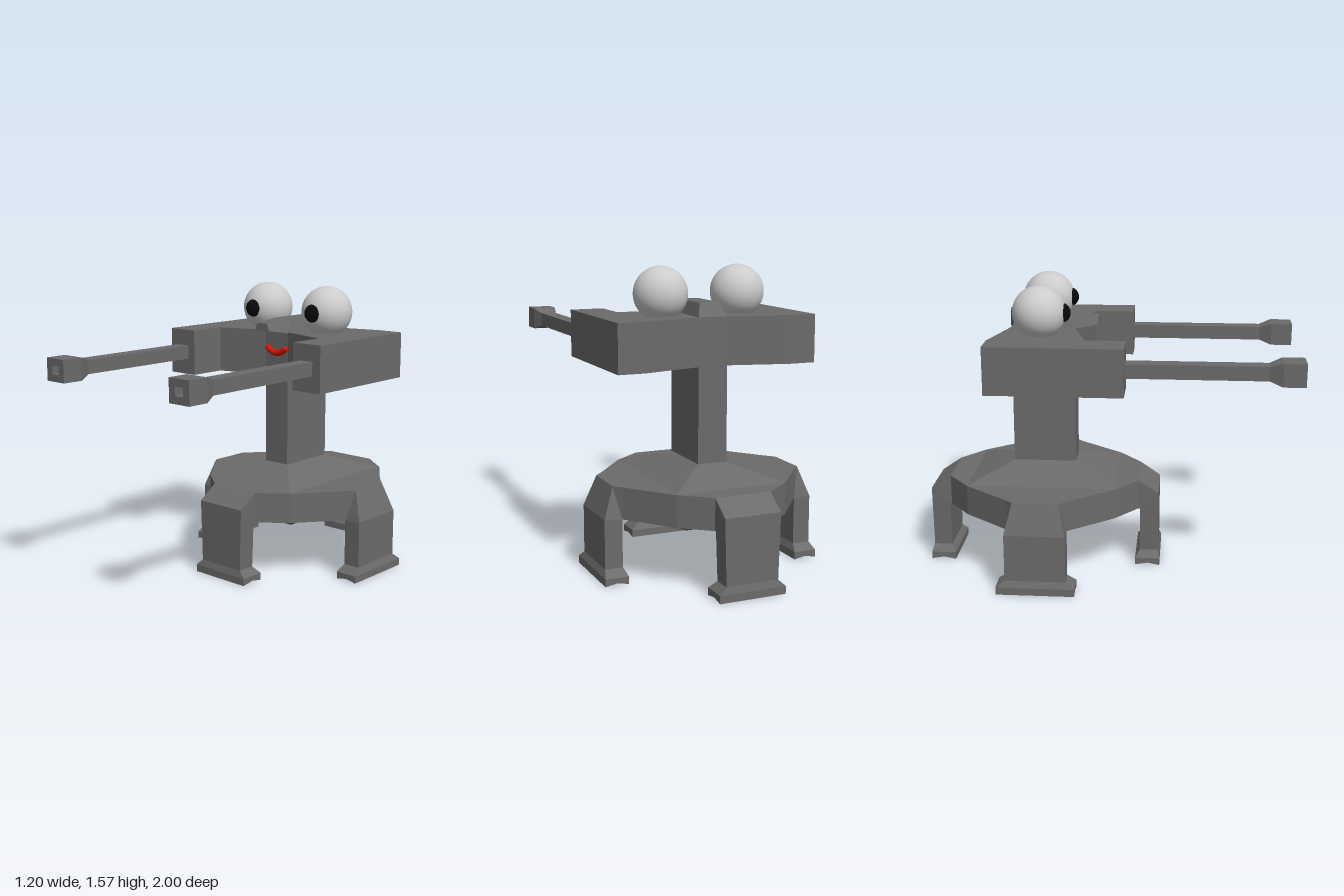
import * as THREE from 'three';

const CZ = -0.36; // z of the body's vertical axis
const hull = new THREE.MeshStandardMaterial({ color: 0x6b6b6b, flatShading: true });
const white = new THREE.MeshStandardMaterial({ color: 0xcccccc });
const black = new THREE.MeshStandardMaterial({ color: 0x080808 });
const red = new THREE.MeshStandardMaterial({ color: 0xdd1100 });

// Closed faceted solid through rings of equal point count; ends are capped by fans.
function loft(rings) {
  const tris = [];
  const n = rings[0].length;
  for (let r = 0; r + 1 < rings.length; r++) {
    for (let i = 0; i < n; i++) {
      const j = (i + 1) % n;
      const [a, b, c, d] = [rings[r][i], rings[r][j], rings[r + 1][j], rings[r + 1][i]];
      tris.push([a, b, c], [a, c, d]);
    }
  }
  const last = rings[rings.length - 1];
  for (let i = 1; i + 1 < n; i++) {
    tris.push([rings[0][0], rings[0][i + 1], rings[0][i]], [last[0], last[i], last[i + 1]]);
  }
  // Drop collapsed triangles and turn the solid outward by its signed volume
  let volume = 0;
  const solid = tris.map(t => t.map(p => new THREE.Vector3(...p)))
    .filter(([a, b, c]) => new THREE.Triangle(a, b, c).getArea() > 1e-7);
  for (const [a, b, c] of solid) volume += a.dot(b.clone().cross(c));
  const points = solid.flatMap(([a, b, c]) => (volume < 0 ? [a, c, b] : [a, b, c]));
  const geometry = new THREE.BufferGeometry().setFromPoints(points);
  geometry.computeVertexNormals();
  return geometry;
}

// Horizontal rectangle around the body axis
const rect = (hx, hz, y) =>
  [[hx, y, CZ + hz], [-hx, y, CZ + hz], [-hx, y, CZ - hz], [hx, y, CZ - hz]];

// Leg pointing along +z from the axis; each station is
// [outerZ, outerY, outerHalfWidth, innerZ, innerY, innerHalfWidth]
function legGeometry(stations) {
  return loft(stations.map(([oz, oy, ow, iz, iy, iw], k) => {
    const arch = k === stations.length - 1 ? 0.012 : 0; // hollow sole
    const mz = (oz + iz) / 2, my = (oy + iy) / 2 + arch, mw = (ow + iw) / 2;
    return [[-mw, my, mz], [-iw, iy, iz], [iw, iy, iz], [mw, my, mz], [ow, oy, oz], [-ow, oy, oz]];
  }));
}

export function createModel() {
  const model = new THREE.Group();
  const add = (name, geometry, material = hull, parent = model) => {
    const mesh = new THREE.Mesh(geometry, material);
    mesh.name = name;
    parent.add(mesh);
    return mesh;
  };

  // Body: twelve-sided band with a sloped roof and a sloped belly
  const quarter = [[0.49, 0.16], [0.30, 0.40], [0.15, 0.52]];
  const flip = pts => pts.slice().reverse().map(([x, z]) => [-x, z]);
  const half = [...quarter, ...flip(quarter)];
  const outline = [...half, ...half.map(([x, z]) => [-x, -z])];
  add('bodyBand', loft([0.325, 0.49].map(y => outline.map(([x, z]) => [x, y, CZ + z]))));
  add('bodyRoof', loft([rect(0.30, 0.40, 0.489), rect(0.08, 0.17, 0.57)]));
  add('bodyBelly', loft([rect(0.30, 0.40, 0.326), rect(0.18, 0.25, 0.255)]));

  // Four legs with flared feet
  const endLeg = legGeometry([
    [0.52, 0.49, 0.15, 0.52, 0.325, 0.15],
    [0.63, 0.415, 0.15, 0.53, 0.325, 0.15],
    [0.63, 0.075, 0.14, 0.53, 0.075, 0.14],
    [0.64, 0.04, 0.178, 0.505, 0.04, 0.178],
    [0.64, 0, 0.178, 0.505, 0, 0.178],
  ]);
  const sideLeg = legGeometry([
    [0.49, 0.49, 0.16, 0.49, 0.325, 0.16],
    [0.527, 0.49, 0.12, 0.49, 0.325, 0.16],
    [0.585, 0.33, 0.16, 0.49, 0.325, 0.16],
    [0.585, 0.075, 0.16, 0.49, 0.075, 0.16],
    [0.60, 0.04, 0.207, 0.475, 0.04, 0.207],
    [0.60, 0, 0.207, 0.475, 0, 0.207],
  ]);
  ['frontLeg', 'leftLeg', 'backLeg', 'rightLeg'].forEach((name, i) => {
    const leg = add(name, i % 2 ? sideLeg : endLeg);
    leg.position.z = CZ;
    leg.rotation.y = i * Math.PI / 2;
  });

  // Neck
  add('neck', new THREE.BoxGeometry(0.16, 0.52, 0.34).translate(0, 0.82, CZ));

  // Head: U-shaped block seen from above
  const side = [[0.08, -0.53], [0.40, -0.61], [0.54, -0.61], [0.54, 0.10],
    [0.36, 0.10], [0.36, -0.11], [0.08, -0.19]];
  const shape = new THREE.Shape([...side, ...flip(side)].map(p => new THREE.Vector2(...p)));
  const head = new THREE.ExtrudeGeometry(shape, { depth: 0.25, bevelEnabled: false });
  add('head', head.rotateX(Math.PI / 2).translate(0, 1.32, 0));

  // Nose ridge: [bottomZ, topZ, bottomY, topY, bottomHalf, topHalf]
  add('nose', loft([
    [-0.065, -0.065, 1.335, 1.375, 0.052, 0.034],
    [-0.19, -0.24, 1.315, 1.388, 0.08, 0.055],
    [-0.53, -0.485, 1.315, 1.388, 0.08, 0.055],
  ].map(([bz, tz, by, ty, bw, tw]) => [[-bw, by, bz], [bw, by, bz], [tw, ty, tz], [-tw, ty, tz]])));

  // Barrel with a flared, hollow muzzle: [z, halfX, halfY]
  const barrel = loft([
    [0.09, 0.041, 0.037], [0.82, 0.041, 0.037], [0.885, 0.066, 0.06],
    [1, 0.066, 0.06], [1, 0.027, 0.022], [0.93, 0.027, 0.022],
  ].map(([z, x, y]) => [[x, y, z], [-x, y, z], [-x, -y, z], [x, -y, z]]));

  // Barrels, eyes and pupils on both sides
  for (const [label, s] of [['left', 1], ['right', -1]]) {
    add(label + 'Barrel', barrel).position.set(s * 0.448, 1.195, 0);
    const eye = new THREE.Group();
    eye.name = label + 'Eye';
    eye.position.set(s * 0.215, 1.43, CZ);
    add('eyeball', new THREE.SphereGeometry(0.14, 40, 28), white, eye);
    const pupil = add('pupil', new THREE.SphereGeometry(0.052, 28, 20), black, eye);
    pupil.position.z = 0.113;
    model.add(eye);
  }

  // Smiling mouth with rounded ends
  const mouth = new THREE.Group();
  mouth.name = 'mouth';
  const ends = [-0.062, 0.062].map(x => new THREE.Vector3(x, 1.225, -0.187));
  const smile = new THREE.QuadraticBezierCurve3(ends[0], new THREE.Vector3(0, 1.172, -0.187), ends[1]);
  add('lips', new THREE.TubeGeometry(smile, 20, 0.017, 12), red, mouth);
  for (const p of ends) {
    add('mouthCorner', new THREE.SphereGeometry(0.017, 16, 12), red, mouth).position.copy(p);
  }
  model.add(mouth);

  return model;
}
